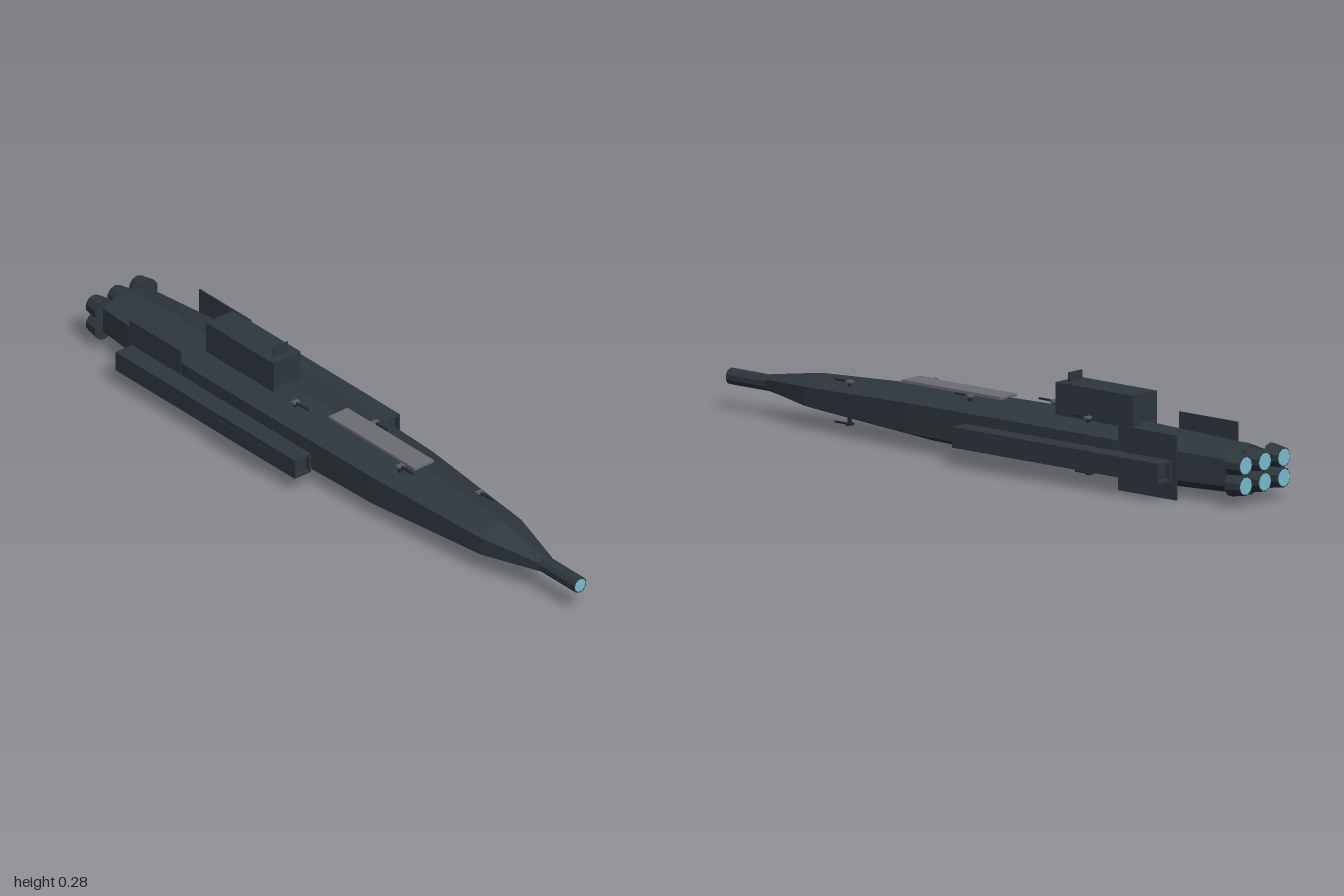
import * as THREE from 'three';

const mat = (name, color, side = THREE.FrontSide) => {
  const m = new THREE.MeshStandardMaterial({ color, flatShading: true, side });
  m.name = name;
  return m;
};

export function createModel() {
  const hullMat = mat('hull slate', 0x2e373e);
  const darkMat = mat('dark slate', 0x232a30);
  const greyMat = mat('deck grey', 0x6c6c74);
  const fittingMat = mat('fitting grey', 0x5a5d62);
  const glowMat = mat('glow cyan', 0x78bfd3);

  const model = new THREE.Group();
  model.name = 'spacecraft';
  const add = (name, geometry, material, x = 0, y = 0, z = 0, parent = model) => {
    const mesh = new THREE.Mesh(geometry, material);
    mesh.name = name;
    mesh.position.set(x, y, z);
    parent.add(mesh);
    return mesh;
  };
  const box = (name, w, h, d, material, x, y, z, parent) =>
    add(name, new THREE.BoxGeometry(w, h, d), material, x, y, z, parent);

  // Hull: six-sided sections [z, half width, ridge, side top, side bottom, keel]
  const sections = [
    [0.85, 0.024, 0.118, 0.106, 0.08, 0.068],
    [0.66, 0.075, 0.148, 0.12, 0.066, 0.04],
    [0.24, 0.109, 0.17, 0.135, 0.05, 0.012],
    [-0.2, 0.12, 0.177, 0.14, 0.047, 0.004],
    [-0.55, 0.12, 0.177, 0.14, 0.047, 0.002],
    [-0.95, 0.085, 0.165, 0.13, 0.055, 0.02],
  ];
  const rings = sections.map(([z, w, top, a, b, keel]) => [
    [0, top, z], [-w, a, z], [-w, b, z], [0, keel, z], [w, b, z], [w, a, z],
  ]);
  const points = [];
  for (let i = 0; i < rings.length - 1; i++) {
    for (let j = 0; j < 6; j++) {
      const k = (j + 1) % 6, a = rings[i], b = rings[i + 1];
      points.push(...a[j], ...b[j], ...a[k], ...a[k], ...b[j], ...b[k]);
    }
  }
  const stern = rings[rings.length - 1], bow = rings[0];
  for (let j = 1; j < 5; j++) {
    points.push(...stern[0], ...stern[j + 1], ...stern[j]);
    points.push(...bow[0], ...bow[j], ...bow[j + 1]);
  }
  const hull = new THREE.BufferGeometry();
  hull.setAttribute('position', new THREE.Float32BufferAttribute(points, 3));
  hull.computeVertexNormals();
  add('hull', hull, hullMat);

  // Nose barrel with glowing muzzle
  add('noseBarrel', new THREE.CylinderGeometry(0.024, 0.024, 0.158, 10).rotateX(Math.PI / 2),
    hullMat, 0, 0.093, 0.92);
  add('noseGlow', new THREE.CircleGeometry(0.02, 10), glowMat, 0, 0.093, 1);

  // Six engines in two rows, tapering to the rear
  for (const y of [0.064, 0.122]) {
    for (const x of [-0.08, 0, 0.08]) {
      const engine = new THREE.Group();
      engine.name = 'engine';
      engine.position.set(x, y, 0);
      model.add(engine);
      add('engineBell', new THREE.CylinderGeometry(0.036, 0.028, 0.049, 10).rotateX(Math.PI / 2),
        hullMat, 0, 0, -0.9745, engine);
      add('engineGlow', new THREE.CircleGeometry(0.025, 10).rotateY(Math.PI), glowMat, 0, 0, -1, engine);
    }
  }

  // Tower on the back of the hull, with a thin sensor plate
  box('tower', 0.1, 0.095, 0.29, hullMat, 0, 0.2075, -0.405);
  box('sensorPlate', 0.056, 0.028, 0.004, hullMat, 0, 0.269, -0.29);

  // Pale deck strip along the ridge
  box('deckStrip', 0.07, 0.008, 0.37, greyMat, 0, 0.175, 0.145);

  // Side pods: square tubes with recessed ends, fins and outer panels
  const square = (shape, s) =>
    shape.moveTo(-s, -s).lineTo(s, -s).lineTo(s, s).lineTo(-s, s).closePath();
  for (const side of [-1, 1]) {
    const pod = new THREE.Group();
    pod.name = side > 0 ? 'leftPod' : 'rightPod';
    model.add(pod);
    const tube = square(new THREE.Shape(), 0.0295);
    tube.holes.push(square(new THREE.Path(), 0.0235));
    add('podTube', new THREE.ExtrudeGeometry(tube, { depth: 0.77, bevelEnabled: false }),
      hullMat, side * 0.1635, 0.084, -0.77, pod);
    box('podCore', 0.047, 0.047, 0.74, hullMat, side * 0.1635, 0.084, -0.385, pod);
    box('podPanel', 0.002, 0.041, 0.22, hullMat, side * 0.202, 0.084, -0.22, pod);
    box('podFin', 0.004, 0.185, 0.22, hullMat, side * 0.128, 0.0935, -0.675, pod);
  }

  // Small guns, alternating sides above and below
  const gun = (x, y, z, up) => {
    const g = new THREE.Group();
    g.name = up > 0 ? 'upperGun' : 'lowerGun';
    g.position.set(x, y, z);
    model.add(g);
    const metal = up > 0 ? fittingMat : darkMat;
    box('gunMount', 0.008, 0.022, 0.01, darkMat, 0, -up * 0.009, 0, g);
    box('gunHead', 0.022, 0.007, 0.014, metal, 0, 0, 0, g);
    box('gunBarrel', 0.006, 0.005, 0.05, darkMat, 0, 0, 0.03, g);
  };
  for (const [x, y, z] of [[0.05, 0.151, 0.51], [-0.05, 0.172, 0.285], [0.05, 0.172, 0.06],
    [-0.05, 0.173, -0.165], [0.058, 0.173, -0.39]]) gun(x, y, z, 1);
  for (const [x, y, z] of [[0.05, 0.03, 0.51], [-0.05, 0.013, 0.06], [0.05, 0.013, -0.39]]) gun(x, y, z, -1);

  return model;
}
